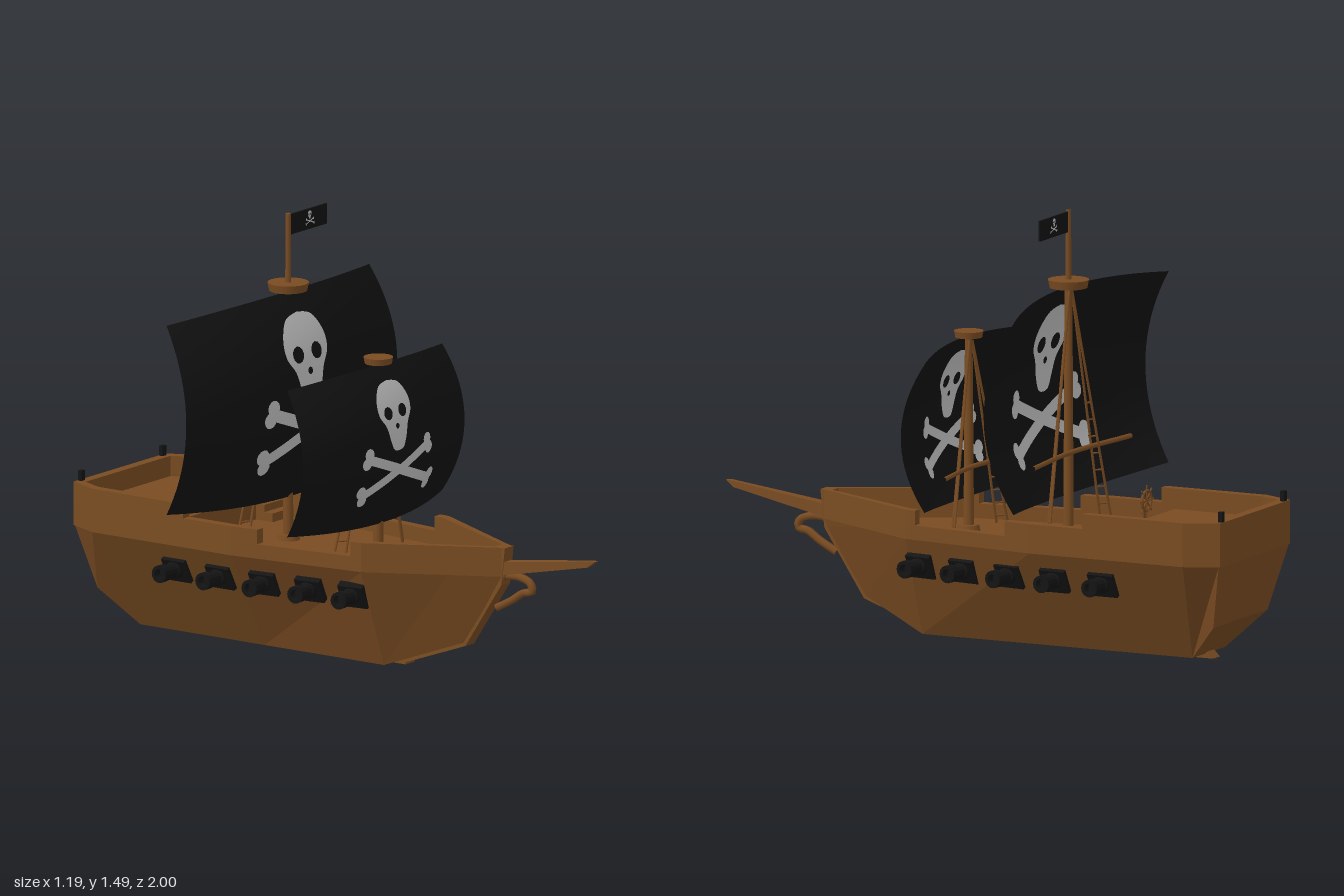
import * as THREE from 'three';

const mat = (name, color, side = THREE.FrontSide) =>
  Object.assign(new THREE.MeshStandardMaterial({ color, side }), { name });

// plan half-width of the hull at a given z
const KNOTS = [[-0.995, 0.26], [-0.88, 0.31], [-0.3, 0.31], [0.2, 0.25], [0.63, 0.02]];
function halfWidth(z) {
  for (let i = 0; i < KNOTS.length - 1; i++) {
    const [z0, w0] = KNOTS[i], [z1, w1] = KNOTS[i + 1];
    if (z <= z1) return w0 + (w1 - w0) * (z - z0) / (z1 - z0);
  }
  return 0.02;
}

// vertical prism from a plan outline of [x, z] points
function slab(points, y0, y1) {
  const shape = new THREE.Shape(points.map(([x, z]) => new THREE.Vector2(x, -z)));
  return new THREE.ExtrudeGeometry(shape, { depth: y1 - y0, bevelEnabled: false })
    .rotateX(-Math.PI / 2).translate(0, y0, 0);
}

// centred plate from a side outline of [z, y] points
function sidePlate(points, width) {
  const shape = new THREE.Shape(points.map(([z, y]) => new THREE.Vector2(-z, y)));
  return new THREE.ExtrudeGeometry(shape, { depth: width, bevelEnabled: false })
    .translate(0, 0, -width / 2).rotateY(Math.PI / 2);
}

// lower hull lofted through cross-sections
function hullGeometry(deck) {
  const sections = [ // bottom [x, y, z], chine [x, y, z]
    [[0.2, 0.14, -0.94], [0.26, deck, -0.99]],
    [[0.12, 0.015, -0.82], [0.31, deck, -0.88]],
    [[0.12, 0.015, -0.3], [0.31, deck, -0.3]],
    [[0.12, 0.015, 0.2], [0.25, deck, 0.2]],
    [[0.03, 0.11, 0.46], [0.11, deck, 0.46]],
    [[0.02, 0.33, 0.615], [0.02, deck, 0.63]],
  ];
  const flip = ([x, y, z]) => [-x, y, z];
  const rings = sections.map(([b, c]) => [c, b, flip(b), flip(c)]);
  const pos = [];
  const quad = (a, b, c, d) => pos.push(...a, ...b, ...c, ...a, ...c, ...d);
  for (let i = 0; i < rings.length - 1; i++) {
    for (let j = 0; j < 4; j++) {
      const k = (j + 1) % 4;
      quad(rings[i][j], rings[i + 1][j], rings[i + 1][k], rings[i][k]);
    }
  }
  quad(...rings[0]);
  quad(...[...rings[rings.length - 1]].reverse());
  const g = new THREE.BufferGeometry();
  g.setAttribute('position', new THREE.Float32BufferAttribute(pos, 3));
  g.computeVertexNormals();
  return g;
}

// skull and crossed bones, triangles cut small so they follow a curved cloth
function emblemTriangles(levels) {
  const V = (x, y) => new THREE.Vector2(x, y), cx = -0.05;
  const half = [[0.2, 0.77], [0.31, 0.6], [0.31, 0.43], [0.21, 0.28], [0.15, 0.1], [0.08, -0.02]];
  const outline = [V(cx, 0.82), ...half.map(([x, y]) => V(cx + x, y)),
    ...half.slice().reverse().map(([x, y]) => V(cx - x, y)), V(cx, 0.82)];
  const skull = new THREE.Shape().moveTo(cx, 0.82);
  skull.splineThru(outline.slice(1));
  for (const [x, y, r] of [[-0.14, 0.44, 0.08], [0.14, 0.44, 0.08], [0, 0.27, 0.035]]) {
    skull.holes.push(new THREE.Path().absellipse(cx + x, y, r, r, 0, Math.PI * 2, true));
  }
  const shapes = [skull];
  for (const [a, b] of [[V(-0.62, -0.06), V(0.7, -0.54)], [V(0.58, -0.06), V(-0.66, -0.54)]]) {
    const d = b.clone().sub(a).normalize(), n = V(-d.y, d.x);
    const at = (p, k) => p.clone().addScaledVector(n, k);
    shapes.push(new THREE.Shape([at(a, -0.06), at(b, -0.06), at(b, 0.06), at(a, 0.06)]));
    for (const p of [a, b]) for (const k of [-0.06, 0.06]) {
      const c = at(p, k);
      shapes.push(new THREE.Shape().absarc(c.x, c.y, 0.08, 0, Math.PI * 2, false));
    }
  }
  const p = new THREE.ShapeGeometry(shapes, 6).toNonIndexed().attributes.position;
  let tris = [];
  for (let i = 0; i < p.count; i += 3) tris.push([0, 1, 2].map(k => V(p.getX(i + k), p.getY(i + k))));
  const mid = (a, b) => a.clone().lerp(b, 0.5);
  for (let l = 0; l < levels; l++) {
    tris = tris.flatMap(([a, b, c]) => {
      const ab = mid(a, b), bc = mid(b, c), ca = mid(c, a);
      return [[a, ab, ca], [ab, b, bc], [ca, bc, c], [ab, bc, ca]];
    });
  }
  return tris;
}

export function createModel() {
  const ship = new THREE.Group();
  ship.name = 'sailingShip';
  const wood = mat('brown wood', 0x7a4c22);
  const cloth = mat('black cloth', 0x121212, THREE.DoubleSide);
  const iron = mat('black iron', 0x141414);
  const bone = mat('pale grey paint', 0xc4c4c4, THREE.DoubleSide);
  const add = (name, geo, material = wood, parent = ship) => {
    const m = new THREE.Mesh(geo, material);
    m.name = name;
    parent.add(m);
    return m;
  };
  const box = (w, h, d, x, y, z) => new THREE.BoxGeometry(w, h, d).translate(x, y, z);
  const cyl = (r0, r1, y0, y1, z, n = 16) =>
    new THREE.CylinderGeometry(r1, r0, y1 - y0, n).translate(0, (y0 + y1) / 2, z);
  const tube = (pts, r, n = 12) => new THREE.TubeGeometry(
    new THREE.CatmullRomCurve3(pts.map(p => new THREE.Vector3(...p))), n, r, 6);
  const DECK = 0.36;

  // hull, keel and stem
  add('hull', hullGeometry(DECK));
  add('keel', sidePlate([[0.22, 0.002], [0.22, 0.05], [-0.8, 0.05], [-0.82, 0.03], [-0.85, 0]], 0.05));
  add('stem', sidePlate([[0.2, 0.002], [0.47, 0.1], [0.62, 0.33], [0.635, 0.46], [0.59, 0.46],
    [0.58, 0.3], [0.44, 0.14], [0.2, 0.05]], 0.05));

  // stepped bulwarks, mirrored
  const T = 0.035;
  const runs = [[-0.995, -0.88, 0.51], [-0.88, -0.5, 0.51], [-0.5, -0.3, 0.46], [-0.3, -0.2, 0.46],
    [-0.2, 0.16, 0.41], [0.16, 0.2, 0.46], [0.2, 0.63, 0.46]];
  for (const s of [1, -1]) {
    for (const [z0, z1, top] of runs) {
      const w0 = halfWidth(z0), w1 = halfWidth(z1);
      add('bulwark', slab([[s * w0, z0], [s * w1, z1], [s * Math.max(w1 - T, 0), z1],
        [s * (w0 - T), z0]], DECK, top));
    }
    // steps up to the quarterdeck
    add('lowerStep', box(0.105, 0.03, 0.07, s * 0.222, DECK + 0.015, -0.515));
    add('upperStep', box(0.105, 0.055, 0.035, s * 0.222, DECK + 0.0275, -0.5325));
    add('sternPost', box(0.02, 0.04, 0.015, s * 0.23, 0.525, -0.985), iron);
  }
  add('sternRail', box(0.52, 0.15, 0.035, 0, 0.435, -0.9775));
  add('quarterdeck', slab([[-0.25, -0.985], [0.25, -0.985], [0.3, -0.88], [0.3, -0.55],
    [-0.3, -0.55], [-0.3, -0.88]], DECK - 0.01, 0.44));

  // bowsprit, tapering to the tip
  const sprit = sidePlate([[0.6, 0.36], [0.97, 0.437], [1, 0.46], [0.985, 0.46], [0.62, 0.41]], 0.046);
  const sp = sprit.attributes.position;
  for (let i = 0; i < sp.count; i++) sp.setX(i, sp.getX(i) * (1 - 0.55 * (sp.getZ(i) - 0.6) / 0.4));
  sprit.computeVertexNormals();
  add('bowsprit', sprit);
  add('bowScroll', tube([[0, 0.36, 0.62], [0, 0.362, 0.68], [0, 0.345, 0.725], [0, 0.318, 0.73],
    [0, 0.31, 0.695], [0, 0.28, 0.65], [0, 0.245, 0.585]], 0.014, 24));

  // steering wheel
  const wheel = new THREE.Group();
  wheel.name = 'steeringWheel';
  wheel.position.set(0, 0.515, -0.585);
  ship.add(wheel);
  add('wheelRim', new THREE.TorusGeometry(0.034, 0.005, 6, 20), wood, wheel);
  for (let i = 0; i < 4; i++) {
    add('spoke', new THREE.CylinderGeometry(0.003, 0.003, 0.105, 6).rotateZ(i * Math.PI / 4), wood, wheel);
  }
  add('wheelStand', box(0.02, 0.08, 0.016, 0, -0.04, 0.014), wood, wheel);

  // cannons, turned to follow the hull side
  const profile = [[0.03, -0.03], [0.03, 0.03], [0.024, 0.035], [0.024, 0.075], [0.03, 0.08],
    [0.03, 0.11], [0.018, 0.11], [0.018, 0.08], [0, 0.08]].map(([r, y]) => new THREE.Vector2(r, y));
  const barrelGeo = new THREE.LatheGeometry(profile, 14).toNonIndexed().rotateZ(-Math.PI / 2);
  barrelGeo.computeVertexNormals();
  const portGeo = new THREE.BoxGeometry(0.03, 0.09, 0.095).rotateZ(-0.5);
  for (const s of [1, -1]) for (const z of [0.15, -0.02, -0.2, -0.375, -0.557]) {
    const cannon = new THREE.Group(), turn = z > -0.3 ? 0.12 : 0;
    cannon.name = 'cannon';
    cannon.position.set(s * (0.12 + 0.74 * (halfWidth(z) - 0.12)), 0.27, z);
    cannon.rotation.y = s > 0 ? -turn : Math.PI + turn;
    ship.add(cannon);
    add('gunPort', portGeo, iron, cannon);
    add('barrel', barrelGeo, iron, cannon);
  }

  // painted emblem laid on a surface given by place(u, v, offset)
  const emblem = (place, levels) => {
    const tris = emblemTriangles(levels);
    for (const offset of [0.005, -0.005]) {
      const g = new THREE.BufferGeometry().setFromPoints(
        tris.flat().map(p => place(p.x / 1.65, p.y, offset)));
      g.computeVertexNormals();
      add('skullEmblem', g, bone);
    }
  };

  // masts with sail, platform, yard and shrouds
  const rigs = [
    { z: -0.29, top: 1.22, nest: 0.07, nestH: 0.028, hw: 0.597, hh: 0.355, yc: 0.865, zb: -0.18,
      du: 0.095, dv: 0.1, yard: 0.36, yardY: 0.66, foot: 0.24 },
    { z: 0.087, top: 1.02, nest: 0.05, nestH: 0.022, hw: 0.457, hh: 0.275, yc: 0.745, zb: 0.18,
      du: 0.07, dv: 0.08, yard: 0.28, yardY: 0.58, foot: 0.2 },
  ];
  for (const r of rigs) {
    add('mast', cyl(0.018, 0.013, DECK, r.top, r.z));
    add('mastFoot', cyl(0.04, 0.035, DECK, DECK + 0.02, r.z));
    add('mastPlatform', cyl(r.nest * 0.92, r.nest, r.top, r.top + r.nestH, r.z, 20));
    add('yard', tube([[-r.yard, r.yardY, r.z - 0.05], [0, r.yardY, r.z - 0.018], [r.yard, r.yardY, r.z - 0.05]], 0.009));
    for (const s of [1, -1]) {
      const a = [s * r.foot, DECK, r.z - 0.045], b = [s * (r.foot - 0.035), DECK, r.z - 0.02];
      const tip = [s * 0.01, r.top - 0.01, r.z - 0.008];
      for (const foot of [a, b]) add('shroud', tube([foot, tip], 0.005, 1));
      // rungs between the two ropes
      for (let k = 0; k < 8; k++) {
        const t = 0.04 + k * 0.07, on = f => f.map((c, i) => c + (tip[i] - c) * t);
        add('rung', tube([on(a), on(b)], 0.003, 1));
      }
    }
    const place = (u, v, offset = 0) => new THREE.Vector3(
      r.hw * u * (1 - 0.04 * v * v),
      r.yc + r.hh * v * (1 - 0.08 * u * u),
      r.zb - r.du * u * u - r.dv * v * v + offset);
    const sail = new THREE.PlaneGeometry(2, 2, 24, 20), p = sail.attributes.position;
    for (let i = 0; i < p.count; i++) p.setXYZ(i, ...place(p.getX(i), p.getY(i)).toArray());
    sail.computeVertexNormals();
    add('sail', sail, cloth);
    emblem(place, 3);
  }

  // flag on its pole
  add('flagPole', cyl(0.01, 0.009, 1.24, 1.485, -0.29, 10));
  add('flag', box(0.21, 0.07, 0.006, 0.11, 1.445, -0.29), cloth);
  emblem((u, v, offset) => new THREE.Vector3(0.117 + u * 0.055, 1.447 + v * 0.033, -0.29 + offset), 0);

  return ship;
}
